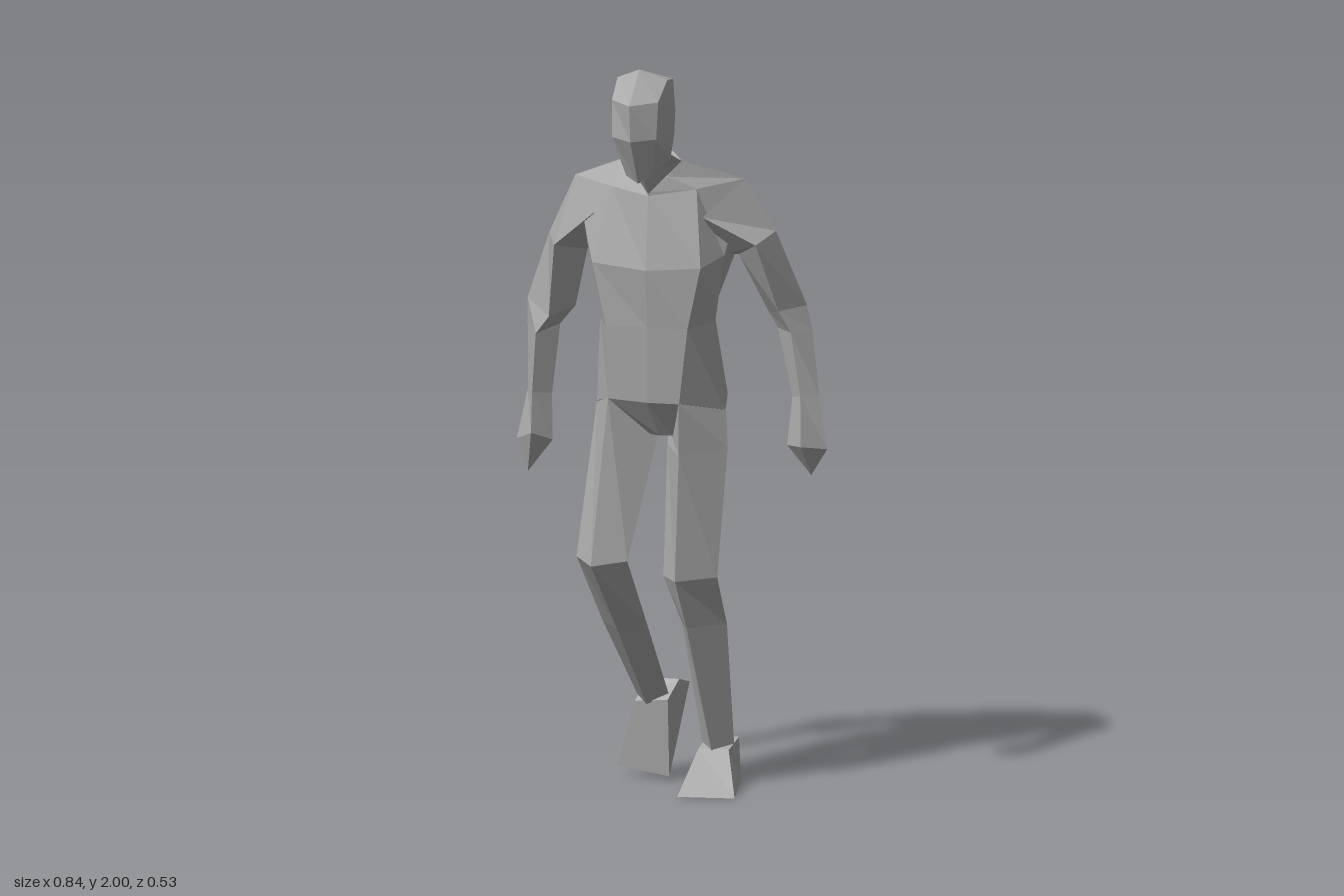
import * as THREE from 'three';

const skin = new THREE.MeshStandardMaterial({ color: 0xaaaaaa, flatShading: true });
skin.name = 'plain grey';

// Skin a stack of cross-sections, listed top to bottom; each runs front, +x side, back, -x side.
function loft(name, rings) {
  const out = [];
  const tri = (a, b, c) => out.push(...a, ...b, ...c);
  for (let i = 0; i + 1 < rings.length; i++) {
    const p = rings[i], q = rings[i + 1], n = p.length;
    for (let j = 0; j < n; j++) {
      const k = (j + 1) % n;
      tri(p[j], q[j], q[k]);
      tri(p[j], q[k], p[k]);
    }
  }
  const top = rings[0], end = rings[rings.length - 1];
  for (let j = 1; j + 1 < top.length; j++) {
    tri(top[0], top[j], top[j + 1]);
    tri(end[0], end[j + 1], end[j]);
  }
  const geo = new THREE.BufferGeometry();
  geo.setAttribute('position', new THREE.Float32BufferAttribute(out, 3));
  geo.computeVertexNormals();
  const mesh = new THREE.Mesh(geo, skin);
  mesh.name = name;
  return mesh;
}

// Symmetric ring about the head's centre plane, from [halfWidth, y, z] points front to back.
const HEAD_X = -0.017;
function mirrored(half) {
  const plus = half.map(([w, y, z]) => [HEAD_X + w, y, z]);
  const minus = half.slice(1, -1).reverse().map(([w, y, z]) => [HEAD_X - w, y, z]);
  return [...plus, ...minus];
}

const tip = (x, y, z) => Array.from({ length: 4 }, () => [x, y, z]);

export function createModel() {
  const figure = new THREE.Group();
  figure.name = 'walkingFigure';

  // Head and neck, leaning forward
  figure.add(loft('head', [
    [[0, 2.0, 0.178], [0.07, 1.97, 0.15], [0.07, 1.965, 0.10], [0, 1.97, 0.07]],
    [[0, 1.915, 0.267], [0.065, 1.92, 0.215], [0.083, 1.885, 0.12], [0, 1.90, 0.05]],
    [[0, 1.815, 0.257], [0.062, 1.82, 0.222], [0.083, 1.82, 0.13], [0, 1.84, 0.055]],
    [[0, 1.69, 0.19], [0.035, 1.71, 0.185], [0.072, 1.75, 0.13], [0, 1.77, 0.10]],
  ].map(mirrored)));
  figure.add(loft('neck', [
    [[0, 1.70, 0.15], [0.07, 1.76, 0.12], [0, 1.83, 0.06]],
    [[0, 1.645, 0.10], [0.077, 1.73, 0.045], [0, 1.75, -0.02]],
  ].map(mirrored)));

  // Torso: neckline, shoulders, chest, waist, hips, crotch
  const neckline = mirrored([[0, 1.65, 0.10], [0.045, 1.69, 0.07], [0.077, 1.73, 0.045], [0.04, 1.745, 0], [0, 1.75, -0.02]]);
  const shoulders = [[-0.017, 1.64, 0.10], [0.10, 1.655, 0.04], [0.21, 1.675, -0.045], [0.19, 1.58, -0.15],
    [-0.016, 1.645, -0.155], [-0.285, 1.58, -0.08], [-0.25, 1.67, 0.015], [-0.13, 1.655, 0.07]];
  const chest = [[-0.017, 1.44, 0.125], [0.13, 1.45, 0.10], [0.165, 1.47, 0], [0.15, 1.45, -0.14],
    [-0.02, 1.45, -0.15], [-0.22, 1.45, -0.10], [-0.22, 1.48, 0], [-0.175, 1.45, 0.10]];
  const waist = [[-0.02, 1.28, 0.10], [0.09, 1.28, 0.09], [0.14, 1.29, 0], [0.10, 1.30, -0.11],
    [-0.03, 1.30, -0.125], [-0.14, 1.30, -0.10], [-0.185, 1.28, 0], [-0.14, 1.28, 0.09]];
  const hips = [[-0.03, 1.07, 0.075], [0.06, 1.07, 0.07], [0.155, 1.04, -0.04], [0.12, 1.06, -0.17],
    [-0.016, 1.04, -0.22], [-0.15, 1.08, -0.16], [-0.20, 1.05, -0.02], [-0.14, 1.075, 0.07]];
  const crotch = [[-0.015, 0.97, 0.01], [0.02, 0.97, 0], [0.06, 0.97, -0.05], [0.05, 0.97, -0.12],
    [-0.016, 0.96, -0.14], [-0.08, 0.97, -0.12], [-0.09, 0.97, -0.05], [-0.04, 0.97, 0]];
  figure.add(loft('shoulderYoke', [neckline, shoulders, chest]));
  figure.add(loft('abdomen', [chest, waist, hips, crotch]));

  // Arms, each ending in a pointed hand
  const leftWrist = [[0.35, 1.08, -0.09], [0.39, 1.08, -0.13], [0.36, 1.07, -0.165], [0.315, 1.07, -0.13]];
  figure.add(loft('leftArm', [
    [[0.12, 1.58, 0.05], [0.21, 1.675, -0.045], [0.19, 1.58, -0.15], [0.165, 1.47, -0.03]],
    [[0.25, 1.50, -0.01], [0.285, 1.53, -0.08], [0.235, 1.47, -0.165], [0.18, 1.46, -0.08]],
    [[0.29, 1.31, -0.085], [0.345, 1.315, -0.165], [0.293, 1.32, -0.24], [0.24, 1.29, -0.16]],
    [[0.32, 1.25, -0.10], [0.36, 1.25, -0.165], [0.31, 1.25, -0.23], [0.265, 1.25, -0.16]],
    leftWrist,
  ]));
  figure.add(loft('leftHand', [
    leftWrist,
    [[0.365, 0.95, -0.045], [0.418, 0.935, -0.115], [0.35, 0.95, -0.18], [0.305, 0.94, -0.115]],
    tip(0.37, 0.86, -0.125),
  ]));
  const rightWrist = [[-0.37, 1.07, 0.02], [-0.33, 1.06, -0.03], [-0.37, 1.06, -0.06], [-0.395, 1.07, -0.02]];
  figure.add(loft('rightArm', [
    [[-0.18, 1.58, 0.07], [-0.20, 1.49, 0], [-0.285, 1.58, -0.08], [-0.25, 1.67, 0.015]],
    [[-0.30, 1.48, 0.045], [-0.23, 1.46, -0.03], [-0.30, 1.45, -0.105], [-0.335, 1.50, -0.02]],
    [[-0.32, 1.28, 0.03], [-0.27, 1.30, -0.05], [-0.38, 1.28, -0.123], [-0.405, 1.315, -0.05]],
    [[-0.36, 1.23, 0.02], [-0.31, 1.25, -0.04], [-0.37, 1.22, -0.11], [-0.405, 1.25, -0.05]],
    rightWrist,
  ]));
  figure.add(loft('rightHand', [
    rightWrist,
    [[-0.37, 0.96, 0.03], [-0.325, 0.935, -0.02], [-0.36, 0.95, -0.07], [-0.423, 0.935, -0.01]],
    tip(-0.395, 0.845, -0.02),
  ]));

  // Standing left leg
  const leftKnee = [[0.05, 0.585, 0.075], [0.145, 0.59, 0], [0.10, 0.585, -0.06], [0.0, 0.59, 0.02]];
  figure.add(loft('leftThigh', [
    [[0.06, 1.07, 0.072], [0.157, 1.04, -0.04], [0.10, 1.05, -0.18], [-0.012, 0.98, -0.06]],
    [[0.06, 0.93, 0.073], [0.165, 0.94, -0.03], [0.10, 0.93, -0.14], [-0.005, 0.94, -0.03]],
    leftKnee,
  ]));
  figure.add(loft('leftShin', [
    leftKnee,
    [[0.065, 0.45, 0.02], [0.15, 0.45, -0.07], [0.10, 0.48, -0.155], [0.03, 0.45, -0.05]],
    [[0.10, 0.08, -0.10], [0.146, 0.08, -0.15], [0.10, 0.08, -0.195], [0.06, 0.08, -0.15]],
  ]));
  figure.add(loft('leftFoot', [
    [[0.06, 0.10, -0.10], [0.145, 0.10, -0.10], [0.145, 0.12, -0.19], [0.06, 0.12, -0.19]],
    [[0.058, 0, 0.08], [0.212, 0, 0.055], [0.145, 0, -0.208], [0.056, 0, -0.205]],
  ]));

  // Bent right leg, heel lifted behind
  const rightKnee = [[-0.128, 0.65, 0.257], [-0.05, 0.655, 0.18], [-0.10, 0.63, 0.09], [-0.203, 0.655, 0.15]];
  figure.add(loft('rightThigh', [
    [[-0.14, 1.075, 0.072], [-0.03, 0.97, -0.03], [-0.12, 1.02, -0.17], [-0.203, 1.05, -0.03]],
    rightKnee,
  ]));
  figure.add(loft('rightShin', [
    rightKnee,
    [[-0.11, 0.45, 0.085], [-0.04, 0.46, 0.04], [-0.08, 0.48, -0.02], [-0.168, 0.46, 0.03]],
    [[-0.09, 0.21, -0.11], [-0.035, 0.23, -0.14], [-0.07, 0.25, -0.18], [-0.125, 0.23, -0.14]],
  ]));
  figure.add(loft('rightFoot', [
    [[-0.125, 0.215, -0.12], [-0.03, 0.225, -0.11], [-0.02, 0.27, -0.18], [-0.11, 0.27, -0.18]],
    [[-0.185, 0.03, -0.153], [-0.035, 0.01, -0.14], [-0.015, 0.25, -0.255], [-0.10, 0.25, -0.267]],
  ]));

  return figure;
}
